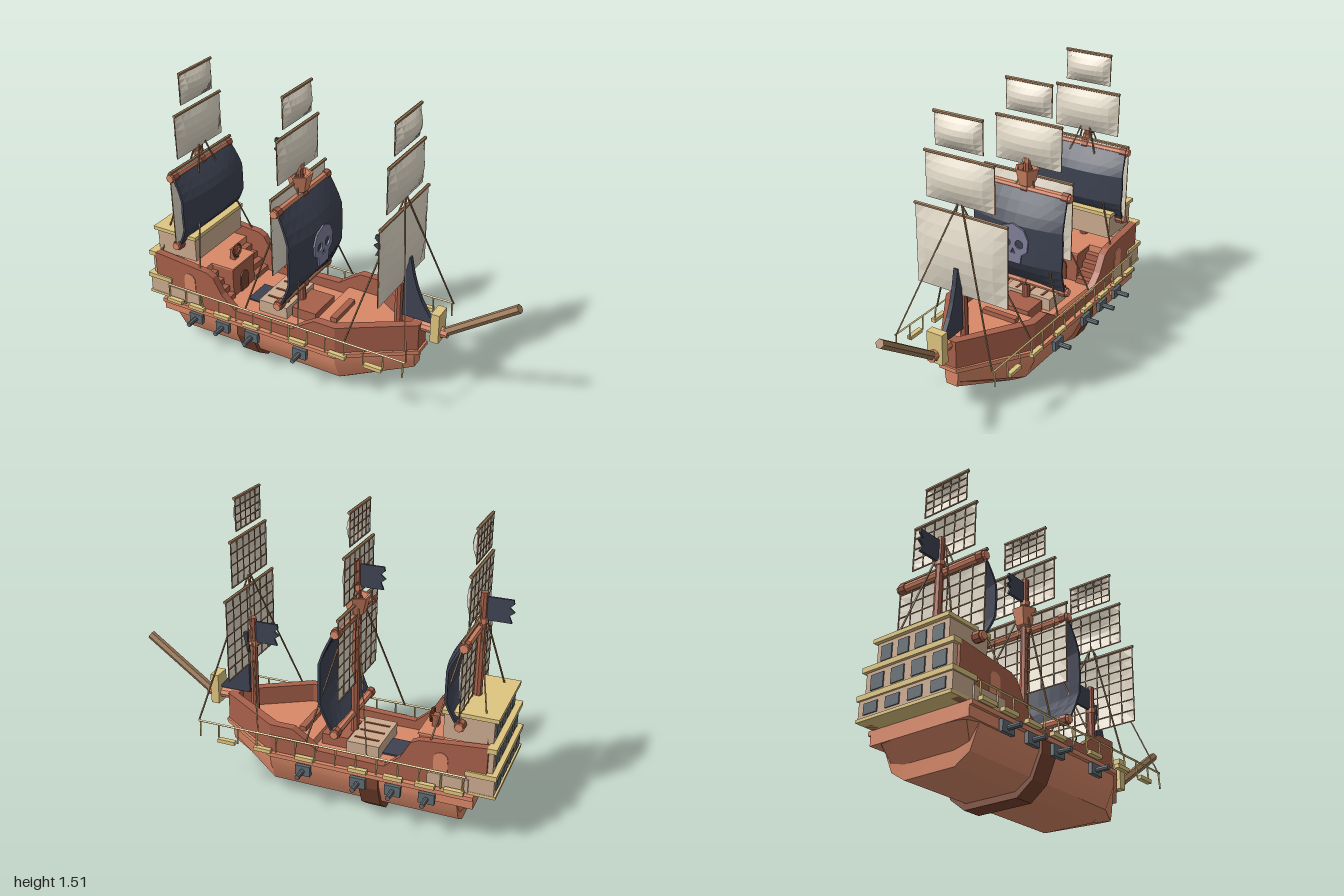
import * as THREE from 'three';
import { toCreasedNormals } from 'three/addons/utils/BufferGeometryUtils.js';

const mat = (name, color, side = THREE.FrontSide) => {
  const m = new THREE.MeshStandardMaterial({ color, side });
  m.name = name;
  return m;
};

export function createModel() {
  const ship = new THREE.Group();
  ship.name = 'sailingShip';
  const wood = mat('redWood', 0xd98867), dark = mat('brownWood', 0xa8604a), rib = mat('darkWood', 0x7a4430);
  const plank = mat('paleWood', 0xccab90), trim = mat('yellowTrim', 0xdec580), rope = mat('rope', 0x9c7856);
  const canvas = mat('canvas', 0xe4dccb, THREE.DoubleSide), black = mat('blackCloth', 0x3e4352, THREE.DoubleSide);
  const slate = mat('slate', 0x5f6a70), bone = mat('emblemGrey', 0x82809c);

  const add = (name, geo, m, x = 0, y = 0, z = 0) => {
    const mesh = new THREE.Mesh(geo, m);
    mesh.name = name;
    mesh.position.set(x, y, z);
    ship.add(mesh);
    return mesh;
  };
  const flat = (g) => { const f = g.index ? g.toNonIndexed() : g; f.computeVertexNormals(); return f; };
  // Box given by its limits; z is symmetric unless z0 is set
  const box = (name, m, x0, x1, y0, y1, z1, z0 = -z1) =>
    add(name, new THREE.BoxGeometry(x1 - x0, y1 - y0, z1 - z0), m, (x0 + x1) / 2, (y0 + y1) / 2, (z0 + z1) / 2);
  // Round bar between two points
  const rod = (name, m, a, b, r, sides = 6, r2 = r) => {
    const p = new THREE.Vector3(...a), d = new THREE.Vector3(...b).sub(p);
    const mesh = add(name, flat(new THREE.CylinderGeometry(r2, r, d.length(), sides)), m);
    mesh.position.copy(p).addScaledVector(d, 0.5);
    mesh.quaternion.setFromUnitVectors(new THREE.Vector3(0, 1, 0), d.normalize());
    return mesh;
  };
  // Flat-faced skin over closed rings of points, with end caps
  const loft = (rings) => {
    const v = [], n = rings[0].length, last = rings[rings.length - 1];
    for (let i = 0; i < rings.length - 1; i++) for (let j = 0; j < n; j++) {
      const k = (j + 1) % n, [a, b, c, d] = [rings[i][j], rings[i][k], rings[i + 1][k], rings[i + 1][j]];
      v.push(...a, ...b, ...c, ...a, ...c, ...d);
    }
    for (let j = 1; j < n - 1; j++) {
      v.push(...last[0], ...last[j], ...last[j + 1], ...rings[0][0], ...rings[0][j + 1], ...rings[0][j]);
    }
    const g = new THREE.BufferGeometry();
    g.setAttribute('position', new THREE.Float32BufferAttribute(v, 3));
    return flat(g);
  };
  const section = (x, half) => [...half, ...half.slice().reverse().map(([z, y]) => [-z, y])].map(([z, y]) => [x, y, z]);
  // Slab from half a plan outline of x, z points
  const slab = (name, m, half, y0, y1) => {
    const pts = [...half, ...half.slice().reverse().map(([x, z]) => [x, -z])].map((p) => new THREE.Vector2(...p));
    const g = new THREE.ExtrudeGeometry(new THREE.Shape(pts), { depth: y1 - y0, bevelEnabled: false });
    return add(name, g.rotateX(-Math.PI / 2), m, 0, y0, 0);
  };

  // Lower hull, keel band, wale and decks
  const mid = [[0.27, 0.26], [0.27, 0.19], [0.22, 0.08], [0.14, 0.03]];
  add('hull', toCreasedNormals(loft([
    section(-0.9, [[0.26, 0.26], [0.26, 0.22], [0.22, 0.2], [0.14, 0.19]]),
    section(-0.825, [[0.27, 0.26], [0.27, 0.19], [0.22, 0.12], [0.14, 0.1]]),
    section(-0.82, mid), section(0.15, mid),
    section(0.48, [[0.04, 0.26], [0.04, 0.22], [0.037, 0.17], [0.03, 0.14]])]), 0.5), wood);
  const band = [[0.285, 0.25], [0.285, 0.18], [0.235, 0.065], [0.15, 0]];
  add('hullBand', loft([section(-0.43, band), section(-0.33, band)]), rib);
  slab('wale', wood, [[-0.9, 0.295], [0.15, 0.29], [0.51, 0.05]], 0.24, 0.262);
  box('sternWale', wood, -0.9, -0.65, 0.19, 0.24, 0.28);
  slab('foredeck', wood, [[-0.04, 0.25], [0.14, 0.25], [0.47, 0.03]], 0.26, 0.31);
  box('foredeckStep', dark, 0.03, 0.065, 0.31, 0.335, 0.1);

  // Bulwark running round the bow: x, outer z, top y, inner x, inner z
  const side = [[-0.95, 0.265, 0.52, -0.95, 0.225], [-0.62, 0.265, 0.49, -0.62, 0.225], [-0.58, 0.265, 0.47, -0.58, 0.225],
    [-0.53, 0.265, 0.38, -0.53, 0.225], [-0.45, 0.265, 0.31, -0.45, 0.225], [-0.1, 0.27, 0.32, -0.1, 0.225],
    [-0.04, 0.27, 0.365, -0.04, 0.225], [0.03, 0.27, 0.41, 0.03, 0.225], [0.15, 0.27, 0.41, 0.13, 0.225], [0.5, 0.045, 0.41, 0.45, 0.025]];
  const around = [...side, ...side.slice().reverse().map(([x, z, y, xi, zi]) => [x, -z, y, xi, -zi])];
  add('bulwark', loft(around.map(([x, z, y, xi, zi]) => [[xi, y, zi], [x, y, z], [x, 0.26, z], [xi, 0.26, zi]])), dark);

  // Quarterdeck with door, stairs, wheel and side arches
  box('quarterdeck', wood, -0.9, -0.7, 0.26, 0.44, 0.23);
  box('helmPlatform', dark, -0.7, -0.57, 0.26, 0.43, 0.1);
  box('helmFloor', wood, -0.7, -0.565, 0.43, 0.44, 0.105);
  const arch = new THREE.Shape().moveTo(-0.035, 0).lineTo(0.035, 0).lineTo(0.035, 0.08).absarc(0, 0.08, 0.035, 0, Math.PI);
  const archGeo = new THREE.ExtrudeGeometry(arch, { depth: 0.008, bevelEnabled: false, curveSegments: 5 });
  add('door', archGeo, rib, -0.571, 0.262, 0).rotation.y = Math.PI / 2;
  box('wheelPost', dark, -0.64, -0.61, 0.44, 0.5, 0.02);
  add('wheel', flat(new THREE.TorusGeometry(0.035, 0.007, 4, 8)), rib, -0.605, 0.495, 0).rotation.y = Math.PI / 2;
  for (const s of [1, -1]) {
    for (let i = 0; i < 4; i++) {
      const x = -0.7 + i * 0.035, h = 0.14 - i * 0.036;
      add('stair', new THREE.BoxGeometry(0.035, h, 0.125), dark, x + 0.0175, 0.26 + h / 2, s * 0.163);
    }
    add('sideArch', archGeo, wood, -0.73, 0.335, s > 0 ? 0.26 : -0.268);
    add('sideGallery', new THREE.BoxGeometry(0.2, 0.07, 0.015), plank, -0.77, 0.305, s * 0.27);
  }

  // Stern castle: wall limits, trim limits, and a row of windows per storey
  [[-0.99, -0.86, 0.27, 0.36, 0.268, -1, -0.85, 0.385, 0.275],
    [-0.975, -0.86, 0.385, 0.495, 0.25, -0.99, -0.945, 0.52, 0.265],
    [-0.96, -0.72, 0.5, 0.63, 0.21, -0.98, -0.71, 0.65, 0.22]].forEach(([x0, x1, y0, y1, z, tx0, tx1, ty, tz]) => {
    box('sternWall', plank, x0, x1, y0, y1, z);
    box('sternTrim', trim, tx0, tx1, y1, ty, tz);
    for (let i = 0; i < 4; i++) {
      const c = (i - 1.5) * z * 0.48;
      box('sternWindow', slate, x0 - 0.006, x0 + 0.002, Math.max(y0 + 0.02, y1 - 0.09), y1 - 0.018, c + z * 0.15, c - z * 0.15);
    }
  });
  box('sternSill', trim, -1, -0.86, 0.26, 0.275, 0.27);

  // Deck hatch and grating
  box('hatch', black, -0.49, -0.38, 0.26, 0.27, 0.08);
  box('grating', plank, -0.38, -0.21, 0.26, 0.33, 0.14);
  for (const z of [-0.08, 0, 0.08]) box('gratingSlot', rib, -0.36, -0.23, 0.328, 0.333, z + 0.007, z - 0.007);
  box('mastBase', dark, -0.2, -0.06, 0.26, 0.32, 0.1);

  // Cannons, side rails and hanging steps
  for (const s of [1, -1]) {
    for (const x of [-0.68, -0.51, -0.33, -0.04]) {
      add('gunPort', new THREE.BoxGeometry(0.08, 0.055, 0.02), slate, x, 0.207, s * 0.295);
      rod('cannon', slate, [x, 0.205, s * 0.26], [x, 0.205, s * 0.37], 0.013, 8);
    }
    rod('rail', trim, [-0.86, 0.36, s * 0.29], [0.545, 0.36, s * 0.29], 0.006, 4);
    for (let i = 0; i < 14; i++) {
      const x = -0.85 + i * 0.1065;
      rod('railPost', trim, [x, 0.36, s * 0.29], [x, 0.275, s * 0.296], 0.005, 4);
    }
    for (const x of [-0.81, -0.67, -0.51, -0.33, -0.05, 0.18, 0.38])
      add('railStep', new THREE.BoxGeometry(0.095, 0.02, 0.025), trim, x, 0.278, s * 0.3);
  }

  // Bow beam, bowsprit and figurehead plate
  rod('bowBeam', wood, [0.46, 0.385, 0], [0.64, 0.385, 0], 0.027, 8);
  rod('bowsprit', rope, [0.57, 0.35, 0], [0.985, 0.647, 0], 0.023, 6);
  box('figurehead', trim, 0.56, 0.605, 0.335, 0.5, 0.045);

  // Masts, pennants, canvas sails with rope nets, and shrouds
  const pennant = new THREE.Shape([[0, 0], [-0.12, 0], [-0.125, -0.02], [-0.105, -0.04], [-0.13, -0.06],
    [-0.105, -0.08], [-0.12, -0.115], [0, -0.115]].map((p) => new THREE.Vector2(...p)));
  const pennantGeo = new THREE.ExtrudeGeometry(pennant, { depth: 0.012, bevelEnabled: false });
  const whiteSail = (x, y0, y1, half, cols, rows) => {
    const h = y1 - y0, g = new THREE.PlaneGeometry(half * 2, h, 8, 6).rotateY(Math.PI / 2), p = g.attributes.position;
    for (let i = 0; i < p.count; i++) {
      const a = Math.cos((p.getZ(i) / half) * Math.PI / 2), b = Math.cos((p.getY(i) / h) * Math.PI);
      p.setX(i, 0.042 * Math.sqrt(Math.max(0, a)) * b);
    }
    add('canvasSail', flat(g), canvas, x, (y0 + y1) / 2, 0);
    rod('canvasYard', rope, [x, y1 + 0.003, -half - 0.004], [x, y1 + 0.003, half + 0.004], 0.009, 6);
    for (let i = 0; i <= cols; i++) {
      const z = half * (2 * i / cols - 1);
      box('netRope', rope, x - 0.006, x - 0.002, y0, y1, z + 0.0025, z - 0.0025);
    }
    for (let i = 0; i < rows; i++) {
      const y = y0 + h * i / rows;
      box('netRope', rope, x - 0.006, x - 0.002, y, y + 0.005, half);
    }
  };
  // mast x, foot y, top y, sail x, shroud top y, shroud feet
  [[-0.82, 0.44, 1.17, -0.8, 1.14, [[-0.94, 0.5, 0.22], [-0.67, 0.48, 0.25]]],
    [-0.2, 0.26, 1.24, -0.205, 1.08, [[-0.37, 0.36, 0.285], [-0.05, 0.36, 0.285]]],
    [0.365, 0.3, 0.85, 0.38, 1.08, [[0.21, 0.36, 0.285], [0.545, 0.36, 0.285]]]].forEach(([x, y0, y1, sx, top, feet]) => {
    rod('mast', dark, [x, y0, 0], [x, y1, 0], 0.023, 8, 0.019);
    rod('mastCollar', wood, [x, y1 - 0.15, 0], [x, y1 - 0.125, 0], 0.026, 8);
    add('pennant', pennantGeo, black, x - 0.015, y1 - 0.02, -0.006);
    whiteSail(sx, 0.6, 1.02, 0.26, 7, 7);
    whiteSail(sx, 1.07, 1.3, 0.19, 6, 4);
    whiteSail(sx, 1.34, 1.5, 0.13, 5, 4);
    for (const [fx, fy, fz] of feet) for (const s of [1, -1])
      rod('shroud', rope, [sx, top, s * 0.01], [fx, fy, s * fz], 0.0045, 4);
  });

  // Crow's nest
  const nest = [[0, 0], [0.045, 0], [0.068, 0.09], [0.056, 0.09], [0.052, 0.06], [0, 0.06]];
  add('crowsNest', flat(new THREE.LatheGeometry(nest.map((p) => new THREE.Vector2(...p)), 6)), wood, -0.2, 0.97, 0);

  // Black square sails, fullest in the middle, each held between two yards
  const blackSail = (x, y0, y1, bulge) => {
    const h = y1 - y0, g = new THREE.BoxGeometry(0.012, h, 0.52, 1, 10, 8), p = g.attributes.position;
    for (let i = 0; i < p.count; i++) {
      const v = p.getY(i) / h + 0.5, u = p.getZ(i) / 0.26, arc = Math.sin(Math.PI * v);
      p.setX(i, p.getX(i) + bulge * Math.min(1, 1.25 * arc) * (1 - 0.35 * u * u));
      p.setY(i, p.getY(i) + 0.02 * (1 - u * u) * Math.max(0, 1 - v * 4));
      p.setZ(i, p.getZ(i) * (0.96 + 0.075 * arc));
    }
    add('blackSail', flat(g), black, x + 0.012, (y0 + y1) / 2, 0);
    for (const y of [y0, y1]) {
      rod('sailYard', wood, [x, y, -0.265], [x, y, 0.265], 0.021, 8);
      for (const z of [-0.235, 0, 0.235]) rod('yardBand', dark, [x, y, z - 0.018], [x, y, z + 0.018], 0.027, 8);
    }
  };
  blackSail(-0.805, 0.595, 0.99, 0.085);
  blackSail(-0.19, 0.42, 0.95, 0.1);

  // Skull emblem on the main sail
  const skull = new THREE.Shape().moveTo(-0.045, -0.11).lineTo(0.045, -0.11).lineTo(0.052, -0.06).lineTo(0.085, -0.035)
    .lineTo(0.092, 0.03).lineTo(0.065, 0.085).lineTo(0, 0.11).lineTo(-0.065, 0.085).lineTo(-0.092, 0.03).lineTo(-0.085, -0.035).lineTo(-0.052, -0.06);
  for (const s of [1, -1]) skull.holes.push(new THREE.Path().absarc(s * 0.038, 0.0, 0.024, 0, Math.PI * 2));
  skull.holes.push(new THREE.Path().moveTo(0, -0.025).lineTo(0.014, -0.055).lineTo(-0.014, -0.055));
  const skullGeo = new THREE.ExtrudeGeometry(skull, { depth: 0.009, bevelEnabled: false, curveSegments: 6 });
  add('skullEmblem', skullGeo, bone, -0.0735, 0.69, 0).rotation.y = Math.PI / 2;

  // Jib sail ahead of the foremast
  const jib = new THREE.Shape().moveTo(0.39, 0.42).lineTo(0.57, 0.42).quadraticCurveTo(0.46, 0.53, 0.425, 0.76).lineTo(0.395, 0.76);
  add('jibSail', new THREE.ExtrudeGeometry(jib, { depth: 0.024, bevelEnabled: false, curveSegments: 5 }), black, 0, 0, -0.012);

  return ship;
}
